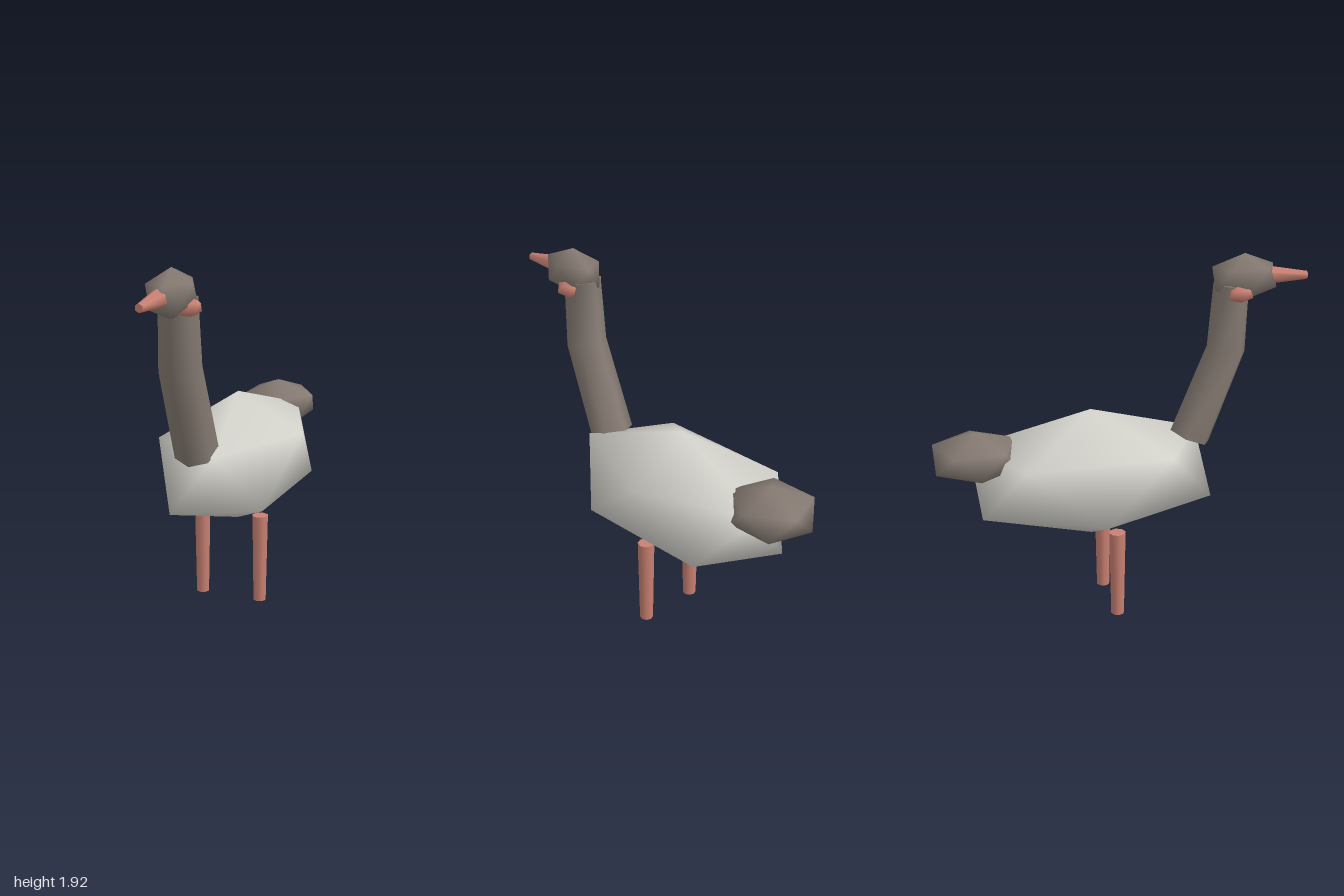
import * as THREE from 'three';

const flat = (name, color) => {
  const m = new THREE.MeshStandardMaterial({ color });
  m.name = name;
  return m;
};

function indexed(points, faces) {
  const g = new THREE.BufferGeometry();
  g.setAttribute('position', new THREE.Float32BufferAttribute(points.flat(), 3));
  g.setIndex(faces.flat());
  g.computeVertexNormals();
  return g;
}

// Smooth-shaded icosahedron standing on a pole; lean slides its two rings apart in z
function icoBlob(rx, ry, rz, lean = 0) {
  const points = [[0, ry, 0], [0, -ry, 0]];
  const faces = [];
  for (let k = 0; k < 5; k++) {
    for (const s of [1, -1]) {
      const a = (k * 72 + (s < 0 ? 36 : 0)) * Math.PI / 180;
      points.push([0.894 * rx * Math.cos(a), 0.447 * ry * s, 0.894 * rz * Math.sin(a) - lean * s]);
    }
    const n = (k + 1) % 5;
    const u0 = 2 + 2 * k, l0 = u0 + 1, u1 = 2 + 2 * n, l1 = u1 + 1;
    faces.push([0, u1, u0], [u0, u1, l0], [l0, u1, l1], [1, l0, l1]);
  }
  return indexed(points, faces);
}

// Six-sided bent tube; each section is [y, z, radius, tilt]
function neckGeometry(sections) {
  const n = 6;
  const points = [];
  const faces = [];
  const ring = ([y, z, r, tilt]) => {
    for (let i = 0; i < n; i++) {
      const a = i / n * Math.PI * 2;
      const f = r * Math.cos(a);
      points.push([r * Math.sin(a), y - f * Math.sin(tilt), z + f * Math.cos(tilt)]);
    }
  };
  sections.forEach(ring);
  for (let s = 0; s < sections.length - 1; s++) {
    for (let i = 0; i < n; i++) {
      const a0 = s * n + i, a1 = s * n + (i + 1) % n;
      faces.push([a0, a1, a1 + n], [a0, a1 + n, a0 + n]);
    }
  }
  // End caps with their own corners
  const low = points.length;
  ring(sections[0]);
  const high = points.length;
  ring(sections[sections.length - 1]);
  for (let i = 1; i < n - 1; i++) {
    faces.push([low, low + i + 1, low + i], [high, high + i, high + i + 1]);
  }
  return indexed(points, faces);
}

export function createModel() {
  const model = new THREE.Group();
  model.name = 'longNeckedBird';
  const plumage = flat('paleFeathers', 0xd6d5ce);
  const taupe = flat('darkFeathers', 0x867b73);
  const pink = flat('pinkSkin', 0xc98172);

  const add = (name, geometry, material, x, y, z) => {
    const mesh = new THREE.Mesh(geometry, material);
    mesh.name = name;
    mesh.position.set(x, y, z);
    model.add(mesh);
    return mesh;
  };

  // Body, tail and head
  add('body', icoBlob(0.414, 0.36, 0.73, 0.015), plumage, 0, 0.78, -0.17);
  add('tail', icoBlob(0.235, 0.136, 0.253), taupe, 0, 0.935, -0.785);
  add('head', icoBlob(0.123, 0.127, 0.195), taupe, 0, 1.797, 0.655);

  // Neck bending upright towards the head
  add('neck', neckGeometry([
    [0.935, 0.375, 0.115, 0.38],
    [1.415, 0.565, 0.108, 0.22],
    [1.77, 0.585, 0.098, 0.06],
  ]), taupe, 0, 0, 0);

  // Beak tapering forward
  const beak = add('beak', new THREE.CylinderGeometry(0.022, 0.052, 0.24, 6), pink, 0, 1.792, 0.88);
  beak.rotation.x = Math.PI / 2 + 0.07;

  // Paired cheeks and legs
  for (const [side, s] of [['left', 1], ['right', -1]]) {
    add(side + 'Cheek', icoBlob(0.073, 0.055, 0.08), pink, 0.065 * s, 1.73, 0.61);
    add(side + 'Leg', new THREE.CylinderGeometry(0.045, 0.036, 0.487, 8), pink, 0.003 + 0.17 * s, 0.2435, -0.067);
  }
  return model;
}
